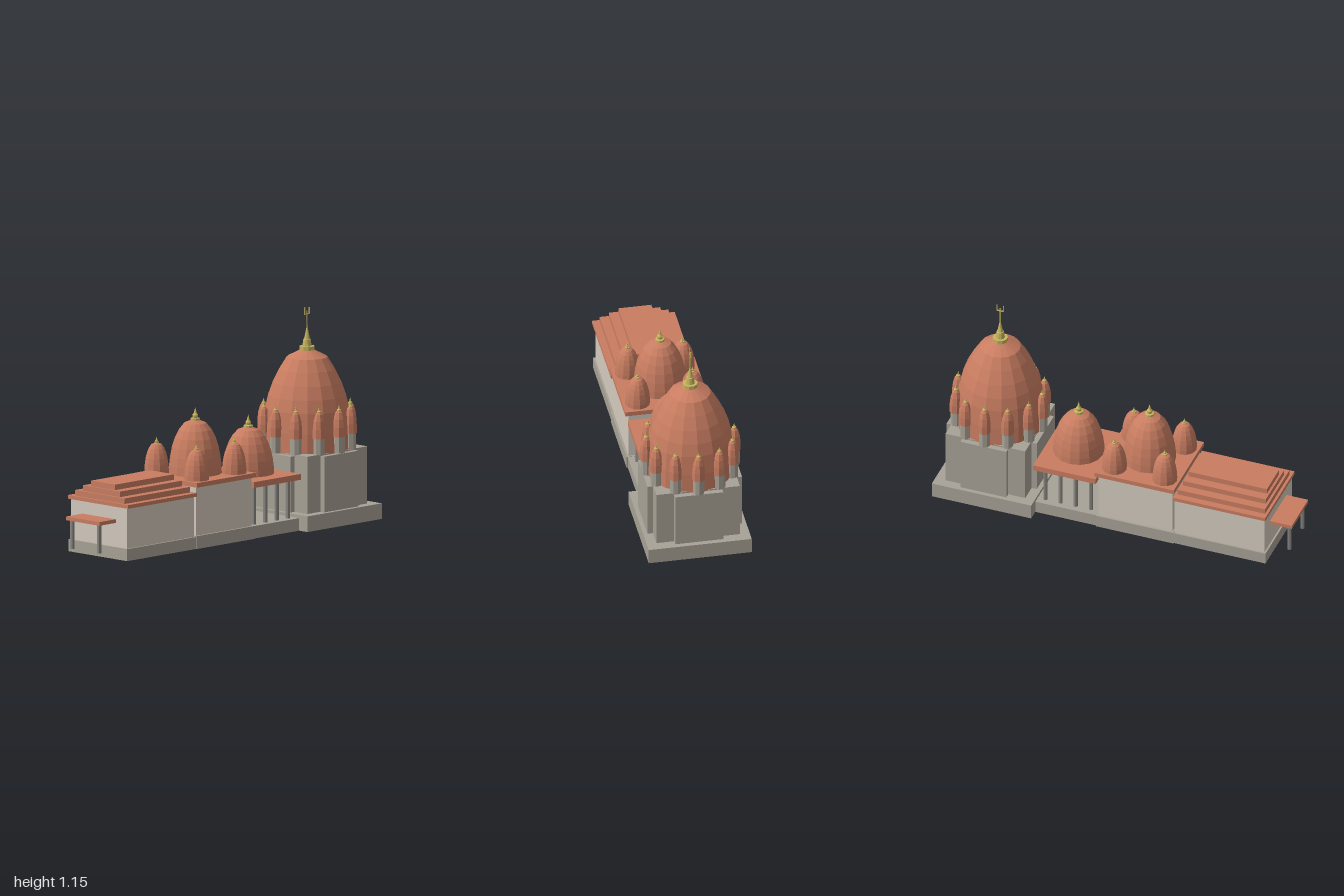
import * as THREE from 'three';

const mat = (name, color) => {
  const m = new THREE.MeshStandardMaterial({ color, flatShading: true });
  m.name = name;
  return m;
};

export function createModel() {
  const stone = mat('grey stone', 0xa8a296);
  const plaster = mat('cream plaster', 0xd4cabe);
  const terracotta = mat('terracotta', 0xc97d61);
  const gold = mat('gold', 0xc6b45e);
  const pillarStone = mat('pillar stone', 0x8a8882);

  const model = new THREE.Group();
  model.name = 'temple';

  const section = (name) => {
    const g = new THREE.Group();
    g.name = name;
    model.add(g);
    return g;
  };
  const add = (parent, name, geometry, material) => {
    const mesh = new THREE.Mesh(geometry, material);
    mesh.name = name;
    parent.add(mesh);
    return mesh;
  };
  // box given by x range, y range and half depth
  const block = (parent, name, x0, x1, y0, y1, halfZ, material) => {
    const mesh = add(parent, name, new THREE.BoxGeometry(x1 - x0, y1 - y0, halfZ * 2), material);
    mesh.position.set((x0 + x1) / 2, (y0 + y1) / 2, 0);
    return mesh;
  };
  const lathe = (parent, name, profile, sides, x, y, z, material) => {
    const pts = profile.map(([r, h]) => new THREE.Vector2(r, h));
    const mesh = add(parent, name, new THREE.LatheGeometry(pts, sides), material);
    mesh.position.set(x, y, z);
    return mesh;
  };
  const pillar = (parent, x, z, y0, y1) => {
    const mesh = add(parent, 'pillar', new THREE.CylinderGeometry(0.012, 0.012, y1 - y0, 8), pillarStone);
    mesh.position.set(x, (y0 + y1) / 2, z);
  };
  // rounded dome with a gold finial
  const domeCurve = [[1, 0], [0.99, 0.15], [0.95, 0.32], [0.88, 0.5], [0.77, 0.67], [0.62, 0.82], [0.42, 0.94], [0.12, 1], [0, 1]];
  const finialCurve = [[0, 0], [0.36, 0], [0.36, 0.16], [0.2, 0.2], [0.23, 0.4], [0.12, 0.55], [0, 1]];
  const dome = (parent, x, y, z, r, h, finial, sides) => {
    lathe(parent, 'dome', domeCurve.map(([a, b]) => [a * r, b * h]), sides, x, y, z, terracotta);
    lathe(parent, 'finial', finialCurve.map(([a, b]) => [a * finial, b * finial]), 10, x, y + h - 0.003, z, gold);
  };

  // Entrance porch
  const porch = section('porch');
  block(porch, 'porchRoof', -1, -0.875, 0.195, 0.215, 0.125, terracotta);
  for (const z of [-0.1, 0.1]) pillar(porch, -0.977, z, 0.04, 0.195);

  // Long hall with stepped roof
  const hall = section('longHall');
  block(hall, 'hallPlinth', -0.885, -0.36, 0, 0.065, 0.22, stone);
  block(hall, 'hallWalls', -0.875, -0.362, 0.065, 0.285, 0.21, plaster);
  const steps = [[-0.885, -0.355, 0.285, 0.305, 0.225], [-0.87, -0.37, 0.305, 0.335, 0.187],
    [-0.857, -0.383, 0.335, 0.365, 0.14], [-0.845, -0.395, 0.365, 0.395, 0.09]];
  for (const s of steps) block(hall, 'roofStep', ...s, terracotta);

  // Assembly hall with five domes
  const assembly = section('assemblyHall');
  block(assembly, 'assemblyPlinth', -0.36, 0.085, 0, 0.07, 0.225, stone);
  block(assembly, 'assemblyWalls', -0.35, 0.073, 0.07, 0.335, 0.213, plaster);
  block(assembly, 'assemblyRoof', -0.365, 0.087, 0.335, 0.36, 0.232, terracotta);
  dome(assembly, -0.14, 0.36, 0, 0.142, 0.29, 0.07, 16);
  for (const x of [-0.283, 0.005])
    for (const z of [-0.15, 0.15]) dome(assembly, x, 0.36, z, 0.068, 0.165, 0.035, 12);

  // Open pavilion
  const pavilion = section('pavilion');
  block(pavilion, 'pavilionPlinth', 0.085, 0.435, 0, 0.068, 0.218, stone);
  block(pavilion, 'pavilionRoof', 0.087, 0.445, 0.275, 0.307, 0.218, terracotta);
  for (let i = 0; i < 4; i++)
    for (const z of [-0.175, 0.175]) pillar(pavilion, 0.13 + i * 0.0867, z, 0.068, 0.275);
  dome(pavilion, 0.265, 0.307, 0, 0.138, 0.253, 0.07, 16);

  // Sanctuary tower
  const cx = 0.714;
  const tower = section('sanctuaryTower');
  block(tower, 'towerPlinth', 0.432, 1, 0, 0.085, 0.281, stone);
  block(tower, 'towerCore', cx - 0.228, cx + 0.228, 0.085, 0.396, 0.228, stone);
  block(tower, 'sideProjection', cx - 0.258, cx + 0.258, 0.085, 0.388, 0.131, stone);
  block(tower, 'frontProjection', cx - 0.131, cx + 0.131, 0.085, 0.388, 0.258, stone);
  lathe(tower, 'spireDome', [[0, 0.39], [0.238, 0.39], [0.235, 0.5], [0.225, 0.61], [0.209, 0.68],
    [0.184, 0.75], [0.15, 0.82], [0.11, 0.885], [0.04, 0.922], [0, 0.925]], 16, cx, 0, 0, terracotta);

  // Ring of twelve turrets
  for (let i = 0; i < 12; i++) {
    const a = (i / 12) * Math.PI * 2;
    const turret = new THREE.Group();
    turret.name = 'turret';
    turret.position.set(cx + Math.sin(a) * 0.24, 0, Math.cos(a) * 0.24);
    turret.rotation.y = a;
    tower.add(turret);
    add(turret, 'turretBase', new THREE.CylinderGeometry(0.031, 0.031, 0.09, 8), stone).position.y = 0.437;
    lathe(turret, 'turretDome', [[0, 0.48], [0.035, 0.48], [0.035, 0.53], [0.03, 0.575], [0.02, 0.61], [0.008, 0.625], [0, 0.625]],
      8, 0, 0, 0, terracotta);
    lathe(turret, 'turretFinial', [[0.012, 0.618], [0.012, 0.626], [0.006, 0.63], [0, 0.652]], 8, 0, 0, 0, gold);
  }

  // Crowning finial and trident
  lathe(tower, 'crown', [[0, 0.922], [0.041, 0.922], [0.041, 0.943], [0.025, 0.943], [0.02, 0.98], [0.016, 0.982],
    [0.004, 1.04], [0.003, 1.135], [0, 1.135]], 10, cx, 0, 0, gold);
  block(tower, 'tridentBar', cx - 0.02, cx + 0.02, 1.114, 1.119, 0.0025, gold);
  for (const x of [-0.018, 0.018])
    block(tower, 'tridentProng', cx + x - 0.0025, cx + x + 0.0025, 1.114, 1.152, 0.0025, gold);

  return model;
}
